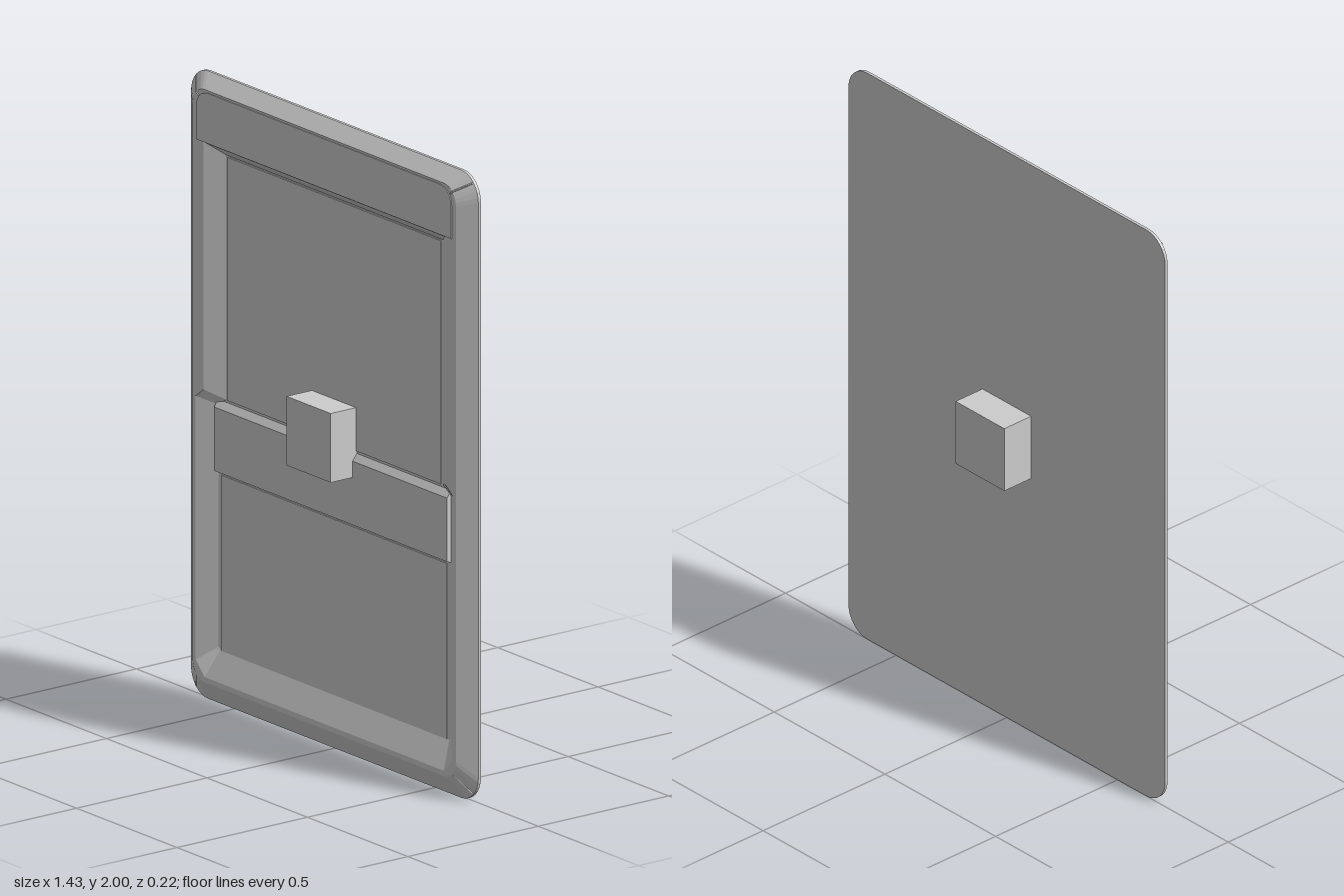
import * as THREE from 'three';

const RIDGE = 0.05, FLOOR = 0.01;

// Rounded rectangle outline, counter-clockwise seen from the front
function roundedRect(hw, y0, y1, r, n = 8) {
  const pts = [];
  const corners = [[hw - r, y0 + r, -0.5], [hw - r, y1 - r, 0], [-hw + r, y1 - r, 0.5], [-hw + r, y0 + r, 1]];
  for (const [cx, cy, start] of corners) {
    for (let i = 0; i <= n; i++) {
      const a = (start + 0.5 * i / n) * Math.PI;
      pts.push([cx + r * Math.cos(a), cy + r * Math.sin(a)]);
    }
  }
  return pts;
}

// Full outline from its right half, listed from bottom to top
const mirrored = (half) => [...half, ...half.slice().reverse().map(([x, y]) => [-x, y])];

// Flat-faced skin between successive closed loops { pts, z }
function loft(loops) {
  const pos = [];
  for (let k = 0; k < loops.length - 1; k++) {
    const A = loops[k], B = loops[k + 1], n = A.pts.length;
    for (let i = 0; i < n; i++) {
      const j = (i + 1) % n;
      const a = [...A.pts[i], A.z], b = [...A.pts[j], A.z], c = [...B.pts[j], B.z], d = [...B.pts[i], B.z];
      pos.push(...a, ...b, ...c, ...a, ...c, ...d);
    }
  }
  const g = new THREE.BufferGeometry();
  g.setAttribute('position', new THREE.Float32BufferAttribute(pos, 3));
  g.computeVertexNormals();
  return g;
}

const toShape = (pts) => new THREE.Shape(pts.map(([x, y]) => new THREE.Vector2(x, y)));

export function createModel() {
  const group = new THREE.Group();
  const mat = new THREE.MeshStandardMaterial({ color: 0xcccccc, side: THREE.DoubleSide });
  const add = (name, geo, x = 0, y = 0, z = 0) => {
    const m = new THREE.Mesh(geo, mat);
    m.name = name;
    m.position.set(x, y, z);
    group.add(m);
    return m;
  };

  // Flat back and bevelled outer rim
  const outer = roundedRect(0.715, 0, 2, 0.085);
  const ridge = roundedRect(0.655, 0.068, 1.957, 0.06);
  const back = new THREE.ShapeGeometry(toShape(outer));
  back.rotateY(Math.PI);
  add('backPlate', back);
  add('outerBevel', loft([{ pts: outer, z: 0 }, { pts: outer, z: 0.01 }, { pts: ridge, z: RIDGE }]));

  // Raised frame face around a stepped opening
  const opening = mirrored([[0.595, 0.085], [0.64, 0.13], [0.64, 0.97], [0.6, 1.0], [0.6, 1.79]]);
  const floor = mirrored([[0.57, 0.17], [0.578, 0.178], [0.578, 0.95], [0.54, 0.975], [0.54, 1.755]]);
  const face = toShape(ridge);
  face.holes.push(new THREE.Path(opening.map(([x, y]) => new THREE.Vector2(x, y))));
  add('frameFace', new THREE.ShapeGeometry(face), 0, 0, RIDGE);
  add('innerBevel', loft([{ pts: opening, z: RIDGE }, { pts: floor, z: FLOOR }]));
  add('recessFloor', new THREE.ShapeGeometry(toShape(floor)), 0, 0, FLOOR);

  // Inset panels
  const panels = [['upperPanel', 0.53, 0.975, 1.75], ['lowerPanel', 0.56, 0.17, 0.73]];
  for (const [name, hw, y0, y1] of panels) {
    add(name, new THREE.BoxGeometry(2 * hw, y1 - y0, 0.004), 0, (y0 + y1) / 2, FLOOR + 0.001);
  }

  // Cross bar with a sloping top edge
  const profile = toShape([[0, 0.735], [0.022, 0.742], [0.022, 0.945], [0, 0.975]]);
  const bar = new THREE.ExtrudeGeometry(profile, { depth: 1.16, bevelEnabled: false });
  bar.rotateY(-Math.PI / 2);
  // the extrusion now runs along -x with its profile facing +z
  add('crossBar', bar, 0.58, 0, 0.004);

  // Header strip with rounded upper corners, and its seam
  const header = new THREE.Shape();
  header.moveTo(-0.635, 1.79);
  header.lineTo(0.635, 1.79);
  header.lineTo(0.635, 1.885);
  header.quadraticCurveTo(0.635, 1.95, 0.57, 1.95);
  header.lineTo(-0.57, 1.95);
  header.quadraticCurveTo(-0.635, 1.95, -0.635, 1.885);
  header.closePath();
  add('headerStrip', new THREE.ExtrudeGeometry(header, { depth: 0.003, bevelEnabled: false, curveSegments: 8 }), 0, 0, RIDGE);
  add('headerSeam', new THREE.BoxGeometry(0.002, 0.155, 0.001), 0.36, 1.87, RIDGE + 0.003);

  // Thin mitre seams at the four corners
  for (const s of [-1, 1]) {
    const paths = [
      [[0.688, 0.028, 0.011], [0.632, 0.088, RIDGE], [0.578, 0.172, FLOOR]],
      [[0.688, 1.972, 0.011], [0.637, 1.94, RIDGE], [0.625, 1.93, RIDGE]],
    ];
    for (const path of paths) {
      const curve = new THREE.CurvePath();
      const v = path.map(([x, y, z]) => new THREE.Vector3(s * x, y, z));
      curve.add(new THREE.LineCurve3(v[0], v[1]));
      curve.add(new THREE.LineCurve3(v[1], v[2]));
      add('cornerSeam', new THREE.TubeGeometry(curve, 12, 0.003, 5));
    }
  }

  // Block passing through the middle
  add('centerBlock', new THREE.BoxGeometry(0.22, 0.22, 0.22), 0, 1.003, 0);

  return group;
}
